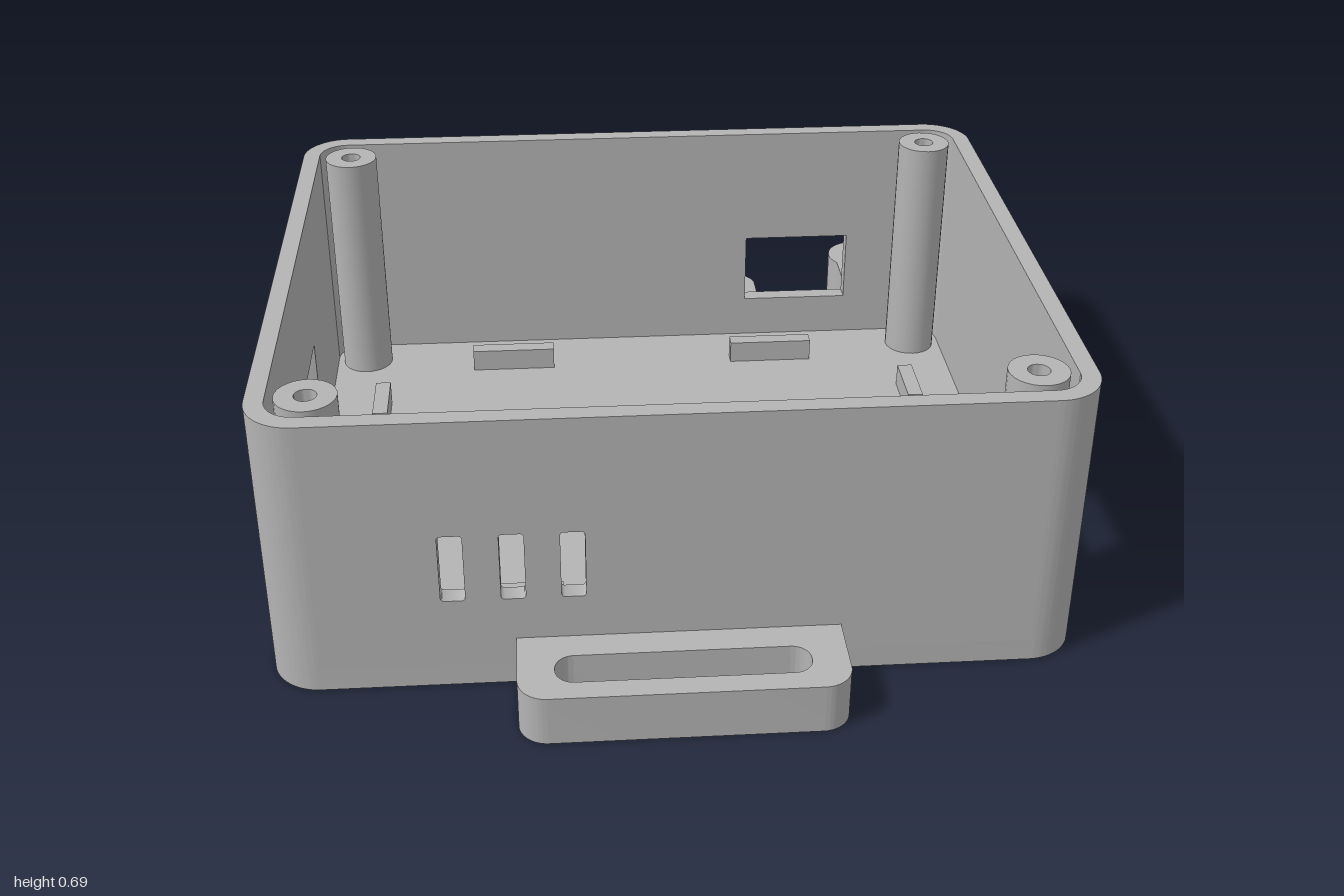
import * as THREE from 'three';
import { toCreasedNormals } from 'three/addons/utils/BufferGeometryUtils.js';

const W = 0.913, ZB = -0.745, ZF = 0.787, H = 0.685;   // outer shell
const T = 0.043, R = 0.113, FLOOR = 0.055;             // wall, corner radius, floor
const ZC = (ZB + ZF) / 2;

// rounded rectangle, added to a Shape or a Path
function roundRect(p, x0, y0, x1, y1, r) {
  p.absarc(x1 - r, y0 + r, r, -Math.PI / 2, 0);
  p.absarc(x1 - r, y1 - r, r, 0, Math.PI / 2);
  p.absarc(x0 + r, y1 - r, r, Math.PI / 2, Math.PI);
  p.absarc(x0 + r, y0 + r, r, Math.PI, Math.PI * 1.5);
  p.closePath();
  return p;
}

function extrude(shape, depth) {
  const g = new THREE.ExtrudeGeometry(shape, { depth, bevelEnabled: false, curveSegments: 14 });
  return toCreasedNormals(g, 0.6);
}

// plan shape (x, -z) raised from y0 to y1
function slab(shape, y0, y1) {
  return extrude(shape, y1 - y0).rotateX(-Math.PI / 2).translate(0, y0, 0);
}

function circleHole(x, y, r) {
  return new THREE.Path().absarc(x, y, r, 0, Math.PI * 2, true);
}

// upright wall with openings given as [u0, y0, u1, y1, radius]
function panel(u0, u1, openings) {
  const s = new THREE.Shape();
  s.moveTo(u0, FLOOR).lineTo(u1, FLOOR).lineTo(u1, H).lineTo(u0, H).closePath();
  for (const [a, b, c, d, r] of openings) {
    const p = new THREE.Path();
    if (r) roundRect(p, a, b, c, d, r);
    else p.moveTo(a, b).lineTo(a, d).lineTo(c, d).lineTo(c, b).closePath();
    s.holes.push(p);
  }
  return extrude(s, T);
}

export function createModel() {
  const model = new THREE.Group();
  const grey = new THREE.MeshStandardMaterial({ color: 0xb4b4b4 });
  grey.name = 'grey plastic';
  const add = (name, geometry, x = 0, y = 0, z = 0) => {
    const m = new THREE.Mesh(geometry, grey);
    m.name = name;
    m.position.set(x, y, z);
    model.add(m);
    return m;
  };

  // floor plate
  add('floor', slab(roundRect(new THREE.Shape(), -W, -ZF, W, -ZB, R), 0, FLOOR));

  // walls with their openings
  const slots = [-0.496, -0.364, -0.232].map(x => [x - 0.027, 0.23, x + 0.027, 0.4, 0.008]);
  add('frontWall', panel(-W + R, W - R, slots), 0, 0, ZF - T);
  add('backWall', panel(-W + R, W - R, [[0.31, 0.17, 0.6, 0.365]]), 0, 0, ZB);
  const turn = -Math.PI / 2;
  add('leftWall', panel(ZB + R, ZF - R, [[0.23, 0.18, 0.483, 0.36]]).rotateY(turn), W);
  add('rightWall', panel(ZB + R, ZF - R, [[-0.15, 0.17, 0.22, 0.365]]).rotateY(turn), -W + T);

  // rounded corner walls
  const corner = new THREE.Shape();
  corner.absarc(0, 0, R, 0, Math.PI / 2);
  corner.absarc(0, 0, R - T, Math.PI / 2, 0, true);
  corner.closePath();
  const cornerGeo = slab(corner, FLOOR, H);
  [[1, ZB + R], [-1, ZB + R], [-1, ZF - R], [1, ZF - R]].forEach(([s, z], i) => {
    add('cornerWall', cornerGeo, s * (W - R), 0, z).rotation.y = i * Math.PI / 2;
  });

  // screw posts
  const ring = new THREE.Shape().absarc(0, 0, 0.068, 0, Math.PI * 2);
  ring.holes.push(circleHole(0, 0, 0.025));
  const postGeo = slab(ring, FLOOR, H);
  for (const s of [-1, 1])
    for (const z of [-0.615, 0.656]) add('screwPost', postGeo, s * 0.785, 0, z);

  // locating ribs on the floor
  const longRib = new THREE.BoxGeometry(0.228, 0.06, 0.039);
  const shortRib = new THREE.BoxGeometry(0.04, 0.06, 0.164);
  for (const s of [-1, 1]) {
    for (const z of [-0.555, 0.592]) add('longRib', longRib, s * 0.367, FLOOR + 0.03, z);
    for (const z of [-0.295, 0.332]) add('shortRib', shortRib, s * 0.725, FLOOR + 0.03, z);
  }

  // slotted strap loops at front and back
  const loop = new THREE.Shape();
  loop.moveTo(-0.362, 0.02).lineTo(-0.362, -0.148);
  loop.absarc(-0.297, -0.148, 0.065, Math.PI, Math.PI * 1.5);
  loop.absarc(0.297, -0.148, 0.065, -Math.PI / 2, 0);
  loop.lineTo(0.362, 0.02).closePath();
  loop.holes.push(roundRect(new THREE.Path(), -0.28, -0.16, 0.28, -0.07, 0.042));
  const loopGeo = slab(loop, 0, 0.122);
  add('frontStrapLoop', loopGeo, 0, 0, ZF);
  add('backStrapLoop', loopGeo, 0, 0, ZB).rotation.y = Math.PI;

  // rear mounting lugs: keyhole outline with a blind screw hole
  const lugShape = hole => {
    const s = new THREE.Shape(), r = 0.089, a = Math.asin(0.072 / r);
    s.moveTo(-0.072, -0.19).lineTo(0.072, -0.19);
    s.absarc(0, 0, r, -Math.PI / 2 + a, Math.PI * 1.5 - a);
    s.closePath();
    if (hole) s.holes.push(circleHole(0, 0, 0.024));
    return s;
  };
  const lugBase = slab(lugShape(false), 0, 0.04);
  const lugTop = slab(lugShape(true), 0.04, 0.2);
  for (const s of [-1, 1]) {
    add('lugBase', lugBase, s * 0.677, 0, -0.911);
    add('lugTop', lugTop, s * 0.677, 0, -0.911);
  }

  return model;
}
